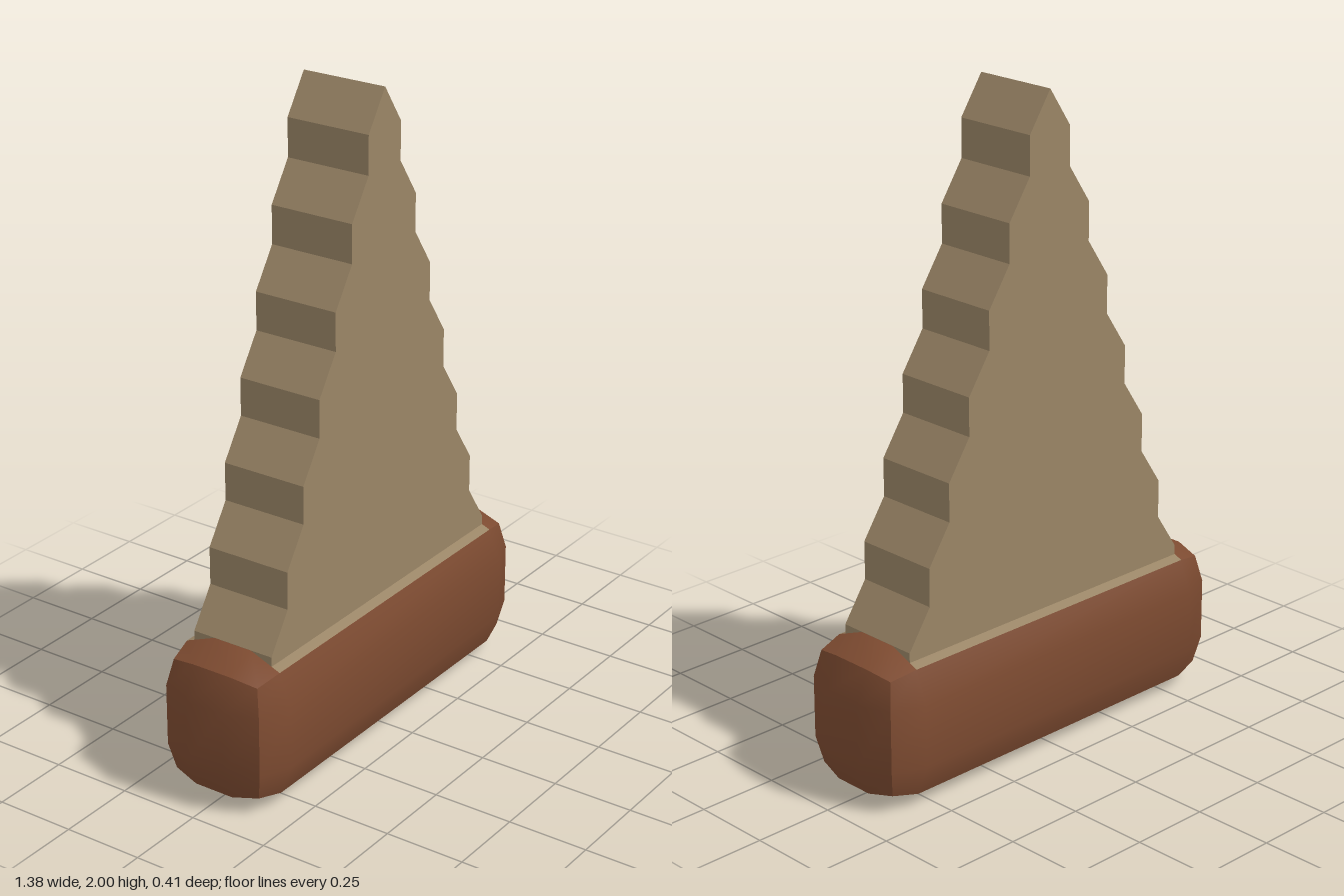
import * as THREE from 'three';

const brown = new THREE.MeshStandardMaterial({ color: 0x7c4a30 });
brown.name = 'clay brown';
const tan = new THREE.MeshStandardMaterial({ color: 0x9a8566 });
tan.name = 'sandy tan';

// Rounded trough: a 3x3x3 grid box whose edges and corners are pulled inwards
function makeTrough() {
  const half = [0.69, 0.236, 0.205]; // outer half sizes
  const bevel = 0.14;                // distance from side to flat area
  const inset = [0, 0, 0.04, 0.057]; // by number of sides a vertex touches
  const geo = new THREE.BoxGeometry(2, 2, 2, 3, 3, 3);
  const pos = geo.attributes.position;
  for (let i = 0; i < pos.count; i++) {
    const p = [pos.getX(i), pos.getY(i), pos.getZ(i)];
    const outer = p.map((v) => Math.abs(v) > 0.9);
    const sides = outer.filter(Boolean).length;
    const q = p.map((v, k) => Math.sign(v) * (half[k] - (outer[k] ? inset[sides] : bevel)));
    pos.setXYZ(i, q[0], q[1], q[2]);
  }
  geo.computeVertexNormals();

  // The middle column of the top is the tan bed, the rest is brown
  const cells = 9;
  geo.clearGroups();
  for (let face = 0; face < 6; face++) {
    for (let c = 0; c < cells; c++) {
      geo.addGroup((face * cells + c) * 6, 6, face === 2 && c % 3 === 1 ? 1 : 0);
    }
  }
  const mesh = new THREE.Mesh(geo, [brown, tan]);
  mesh.name = 'trough';
  mesh.position.y = half[1];
  return mesh;
}

// Flat tapering tree with a stepped outline on both sides
function makeTree() {
  const steps = 7, dx = 0.55 / steps, dy = 0.235, depth = 0.274;
  const right = [];
  for (let i = 1; i <= steps; i++) {
    const top = 2 - (i - 1) * dy;
    right.push([i * dx, top - dy / 2]);
    right.push([i * dx, i < steps ? top - dy : 0.3]);
  }
  const left = right.map(([x, y]) => [-x, y]).reverse();
  const outline = [[0, 2], ...right, ...left].map(([x, y]) => new THREE.Vector2(x, y));
  const geo = new THREE.ExtrudeGeometry(new THREE.Shape(outline), { depth, bevelEnabled: false });
  geo.translate(0, 0, -depth / 2);
  const mesh = new THREE.Mesh(geo, tan);
  mesh.name = 'steppedTree';
  return mesh;
}

export function createModel() {
  const model = new THREE.Group();
  model.name = 'treeInTrough';
  model.add(makeTrough(), makeTree());
  return model;
}
